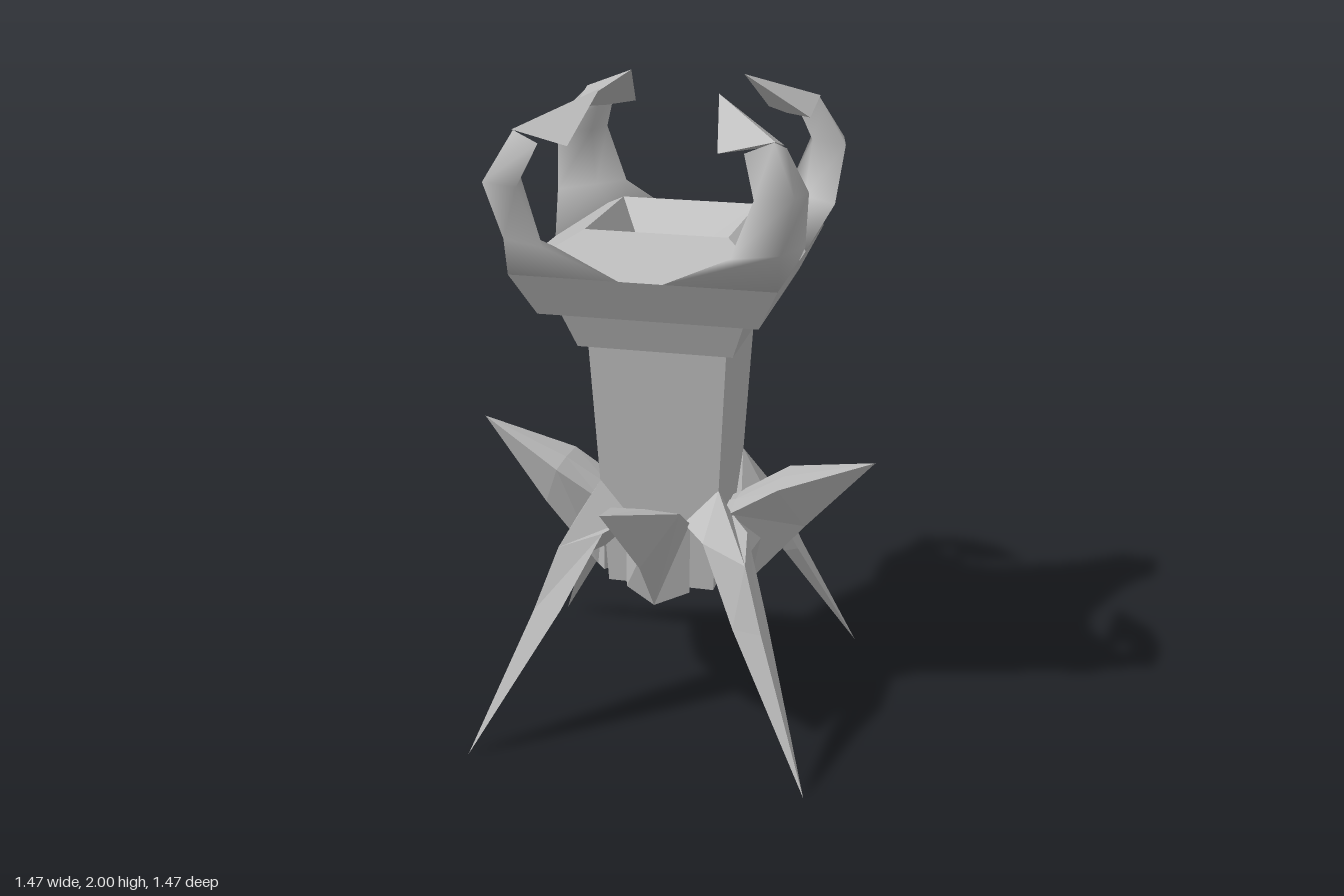
import * as THREE from 'three';

const stone = new THREE.MeshStandardMaterial({ color: 0xb8b8b8 });
stone.name = 'grey stone';

// Skin a list of four-cornered rings; a one-point ring closes to a tip.
function loft(rings, smooth = false) {
  const pos = [], index = [], n = 4;
  for (const ring of rings) {
    for (let k = 0; k < n; k++) pos.push(...ring[k % ring.length]);
  }
  for (let i = 0; i < rings.length - 1; i++) {
    for (let k = 0; k < n; k++) {
      const a = i * n + k, b = i * n + (k + 1) % n;
      if (rings[i + 1].length > 1) index.push(a, b, b + n);
      index.push(a, rings[i + 1].length > 1 ? b + n : b, a + n);
    }
  }
  index.push(0, 2, 1, 0, 3, 2);
  const e = (rings.length - 1) * n;
  if (rings[rings.length - 1].length > 1) index.push(e, e + 1, e + 2, e, e + 2, e + 3);
  let geo = new THREE.BufferGeometry();
  geo.setAttribute('position', new THREE.Float32BufferAttribute(pos, 3));
  geo.setIndex(index);
  if (!smooth) geo = geo.toNonIndexed();
  geo.computeVertexNormals();
  return geo;
}

// Horizontal diamond with its corners on the x and z axes
const diamond = ([r, y]) => [[r, y, 0], [0, y, -r], [-r, y, 0], [0, y, r]];

// Upright ring of a horn: outer point, inner point, side point and half width
const hornRing = ([ox, oy, ix, iy, sx, sy, w]) =>
  [[ox, oy, 0], [sx, sy, -w], [ix, iy, 0], [sx, sy, w]];

// Ring of a limb that runs outward: top point, bottom point, side point and half width
const limbRing = ([tx, ty, bx, by, sx, sy, w]) =>
  [[tx, ty, 0], [sx, sy, w], [bx, by, 0], [sx, sy, -w]];

function part(name, geo) {
  const mesh = new THREE.Mesh(geo, stone);
  mesh.name = name;
  return mesh;
}

// Four copies around the vertical axis
function around(name, geo, offset = 0) {
  const group = new THREE.Group();
  group.name = name + 's';
  for (let i = 0; i < 4; i++) {
    const mesh = part(name, geo);
    mesh.rotation.y = -(offset + i * Math.PI / 2);
    group.add(mesh);
  }
  return group;
}

export function createModel() {
  const model = new THREE.Group();
  model.name = 'hornedTower';

  // Tower: shaft, two flared collars, sloping rim and hollow top
  model.add(part('shaft', loft([[0.235, 0.47], [0.295, 1.25]].map(diamond))));
  model.add(part('lowerCollar', loft([[0.33, 1.25], [0.39, 1.37]].map(diamond))));
  model.add(part('upperCollar', loft(
    [[0.46, 1.37], [0.55, 1.5], [0.3, 1.6], [0.135, 1.37]].map(diamond))));

  // Horns: curved stem spreading over the rim corner, barbed head
  model.add(around('hornStem', loft([
    [0.55, 1.5, 0.3, 1.505, 0.32, 1.5, 0.23],
    [0.56, 1.605, 0.476, 1.605, 0.5, 1.6, 0.125],
    [0.62, 1.775, 0.5, 1.775, 0.56, 1.77, 0.09],
    [0.52, 1.91, 0.455, 1.86, 0.48, 1.88, 0.07],
  ].map(hornRing), true)));
  model.add(around('hornHead', loft([
    hornRing([0.525, 1.912, 0.4, 1.87, 0.41, 1.872, 0.11]),
    [[0.245, 2, 0]],
  ])));

  // Legs: long spikes from the shaft corners to the ground
  model.add(around('leg', loft([
    limbRing([0.26, 0.81, 0.2, 0.6, 0.2, 0.7, 0.085]),
    limbRing([0.41, 0.62, 0.29, 0.58, 0.3, 0.67, 0.08]),
    limbRing([0.5, 0.43, 0.43, 0.41, 0.44, 0.44, 0.062]),
    [[0.737, 0, 0]],
  ])));

  // Claws: keeled blades on the shaft faces, sweeping up and outward
  model.add(around('claw', loft([
    limbRing([0.16, 0.7, 0.16, 0.46, 0.16, 0.5, 0.09]),
    [[0.2, 0.71, 0], [0.2, 0.7, 0.1], [0.25, 0.44, 0], [0.2, 0.7, -0.1]],
    limbRing([0.35, 0.8, 0.42, 0.64, 0.35, 0.795, 0.105]),
    [[0.637, 0.893, 0.057]],
  ]), Math.PI / 4));
  // Lower flanks closing each claw against the shaft
  model.add(around('clawRoot', loft([
    [[0.15, 0.465, 0.1], [0.2, 0.47, 0.1], [0.25, 0.44, 0], [0.2, 0.47, -0.1]],
    [[0.15, 0.7, 0.1], [0.2, 0.7, 0.1], [0.34, 0.68, 0], [0.2, 0.7, -0.1]],
  ].map((r) => [r[2], r[3], [r[0][0], r[0][1], 0], r[1]])), Math.PI / 4));

  return model;
}
